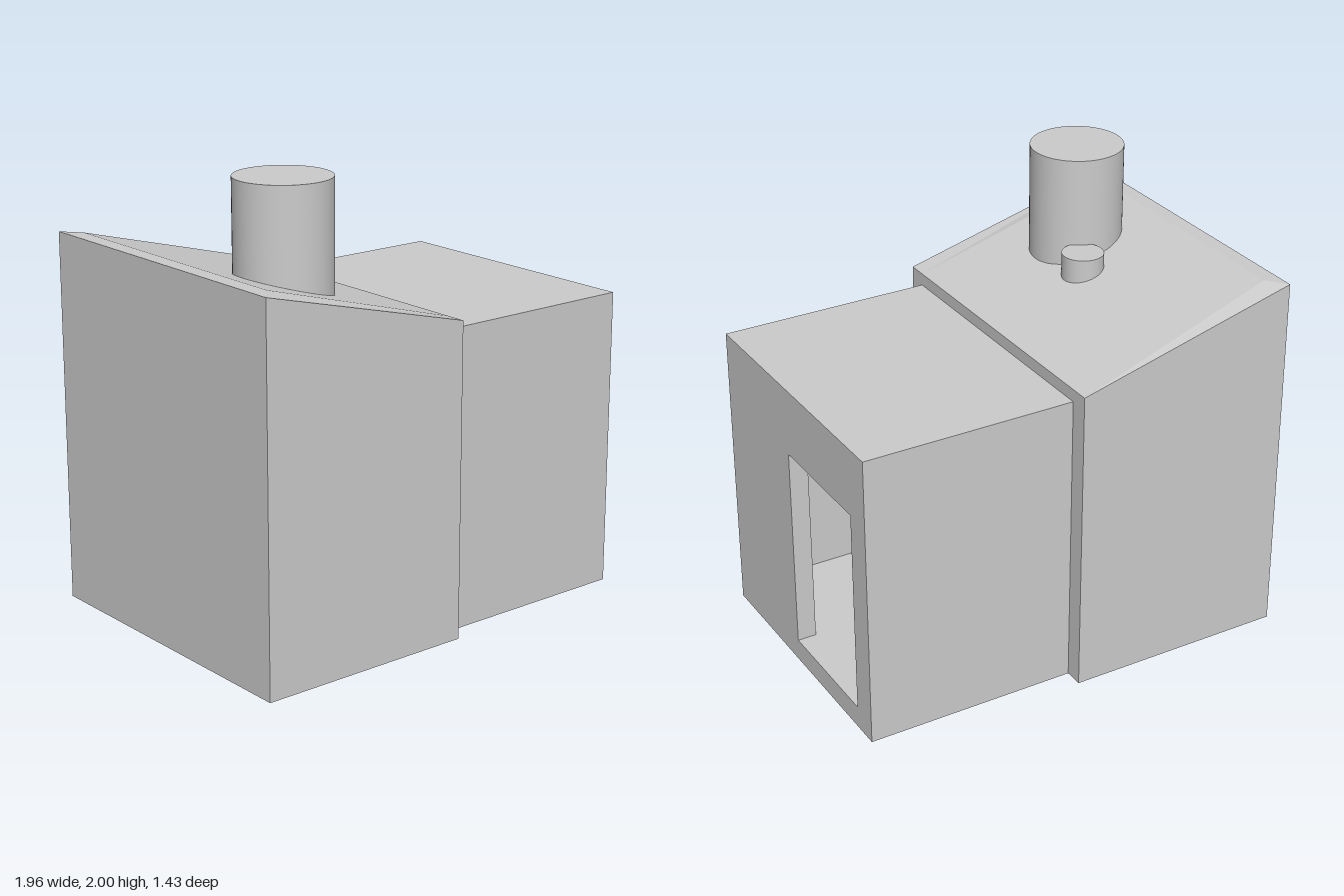
import * as THREE from 'three';

const grey = new THREE.MeshStandardMaterial({ color: 0xcccccc });
const greyThin = new THREE.MeshStandardMaterial({ color: 0xcccccc, side: THREE.DoubleSide });

// Rectangular panel facing +x with a rectangular hole; rects are [z0, z1, y0, y1]
function panel(name, outer, hole, x0, x1) {
  const corners = ([z0, z1, y0, y1]) =>
    [[-z1, y0], [-z0, y0], [-z0, y1], [-z1, y1]].map(p => new THREE.Vector2(...p));
  const shape = new THREE.Shape(corners(outer));
  shape.holes.push(new THREE.Path(corners(hole)));
  const geo = new THREE.ExtrudeGeometry(shape, { depth: x1 - x0, bevelEnabled: false });
  geo.rotateY(Math.PI / 2).translate(x0, 0, 0);
  const mesh = new THREE.Mesh(geo, grey);
  mesh.name = name;
  return mesh;
}

function quads(name, list) {
  const pos = list.flatMap(([a, b, c, d]) => [a, b, c, a, c, d].flat());
  const geo = new THREE.BufferGeometry();
  geo.setAttribute('position', new THREE.Float32BufferAttribute(pos, 3));
  geo.computeVertexNormals();
  const mesh = new THREE.Mesh(geo, greyThin);
  mesh.name = name;
  return mesh;
}

function pipe(name, x, z, r, y0, y1) {
  const mesh = new THREE.Mesh(new THREE.CylinderGeometry(r, r, y1 - y0, 64), grey);
  mesh.position.set(x, (y0 + y1) / 2, z);
  mesh.name = name;
  return mesh;
}

export function createModel() {
  const model = new THREE.Group();
  model.name = 'building';

  // Tall block: walls, floor and a sloping roof with a slightly raised middle
  const L = -0.98, R = 0.02, I = -0.91, d = 0.717, w = 0.63, hi = 1.65, lo = 1.39;
  model.add(quads('tallBlockWalls', [
    [[L, 0, -d], [L, 0, d], [L, hi, d], [L, hi, -d]],
    [[L, 0, d], [R, 0, d], [R, lo, d], [L, hi, d]],
    [[R, 0, -d], [L, 0, -d], [L, hi, -d], [R, lo, -d]],
    [[L, 0, -d], [R, 0, -d], [R, 0, d], [L, 0, d]],
  ]));
  model.add(quads('slopingRoof', [
    [[I, hi, w], [R, lo, w], [R, lo, -w], [I, hi, -w]],
    [[L, hi, d], [R, lo, d], [R, lo, w], [I, hi, w]],
    [[I, hi, -w], [R, lo, -w], [R, lo, -d], [L, hi, -d]],
    [[L, hi, d], [I, hi, w], [I, hi, -w], [L, hi, -d]],
  ]));
  // Wall between the two rooms, with its inner opening
  model.add(panel('partitionWall', [-d, d, 0, lo], [-0.32, 0.32, 0.27, 0.96], R - 0.08, R));

  // Lower annex: hollow body and end wall with the doorway
  const annex = [-0.633, 0.633, 0, 1.335];
  model.add(panel('annexBody', annex, [-0.56, 0.56, 0.1, 1.28], R, 0.89));
  model.add(panel('doorwayWall', annex, [-0.51, 0.05, 0.1, 1.03], 0.89, 0.975));

  // Chimneys
  model.add(pipe('chimney', -0.58, 0.31, 0.205, 1.48, 2));
  model.add(pipe('smallVent', -0.46, 0.06, 0.092, 1.46, 1.61));
  return model;
}
